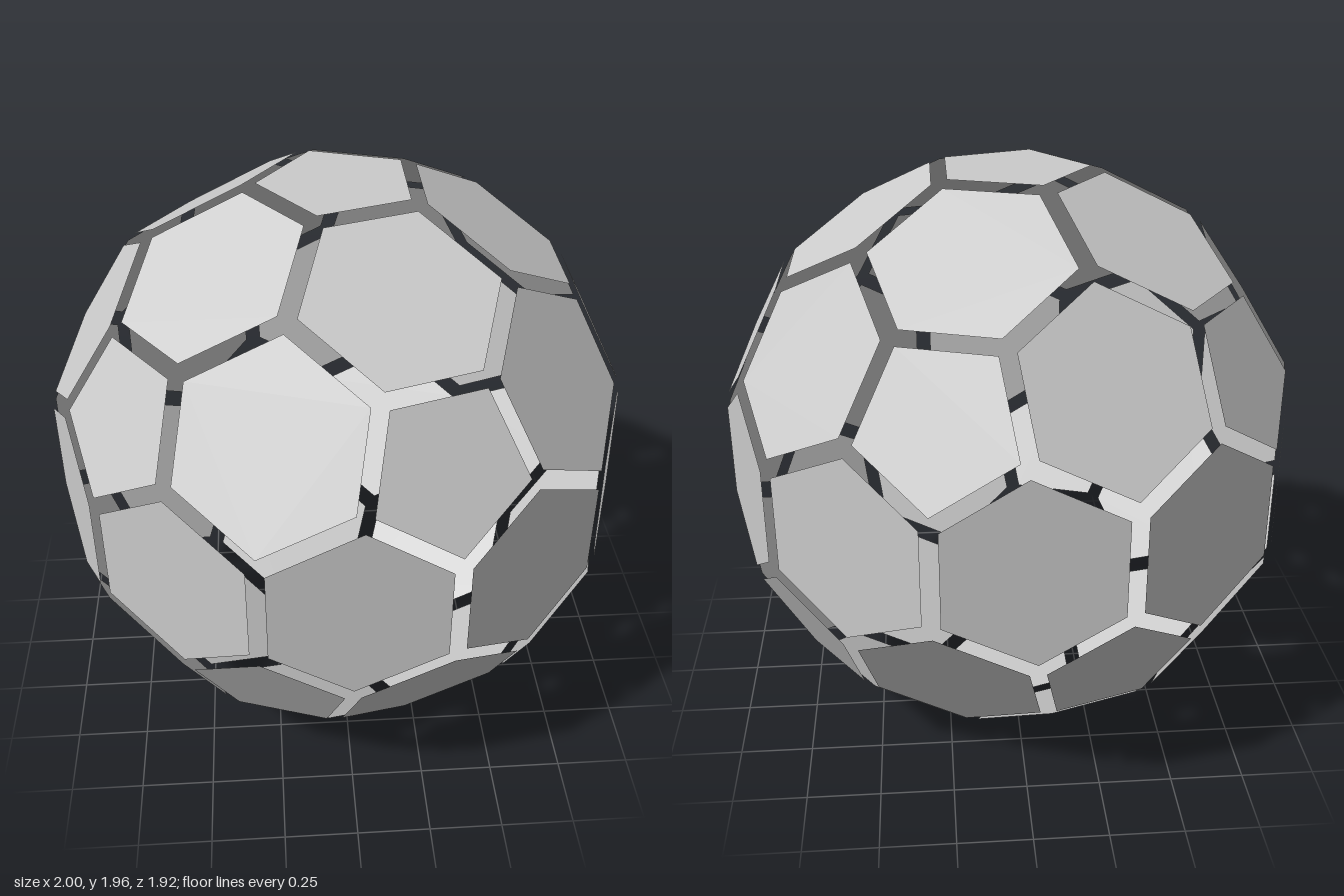
import * as THREE from 'three';

const rad = THREE.MathUtils.degToRad;
const R = 1.0097;            // radius of the sphere touching every seam
const SHRINK = 0.9;          // each panel is scaled about its centre to leave gaps
const HEX = rad(18);         // angular radius of a hexagon's inscribed circle
const PENT = Math.atan((Math.sqrt(5) - 1) / 2) - HEX; // same for a pentagon

export function createModel() {
  const model = new THREE.Group();
  model.name = 'panelledBall';
  const material = new THREE.MeshStandardMaterial({
    color: 0xcccccc, flatShading: true, side: THREE.DoubleSide,
  });

  // Flat outlines; local +x points toward the next pentagon
  const a = R * Math.sin(PENT), h = R * Math.sin(HEX);
  const half = a * Math.tan(rad(36));               // half a pentagon's edge
  const tip = h / Math.sin(2 * Math.atan2(half, h)); // where three hexagons meet
  const pentPoints = [];
  for (let i = 0; i < 5; i++) {
    const t = rad(36 + 72 * i), r = a / Math.cos(rad(36));
    pentPoints.push([r * Math.cos(t), r * Math.sin(t)]);
  }
  const hexPoints = [[h, -half], [h, half], [0, tip], [-h, half], [-h, -half], [0, -tip]];
  const panelGeometry = (points) => new THREE.ShapeGeometry(
    new THREE.Shape(points.map(([x, y]) => new THREE.Vector2(x * SHRINK, y * SHRINK))));
  const pentagon = panelGeometry(pentPoints);
  const hexagon = panelGeometry(hexPoints);

  // Place a panel facing along normal, with its local x turned toward a target
  const centreY = R * Math.cos(PENT);
  function addPanel(name, geometry, normal, toward, distance) {
    const u = toward.clone().addScaledVector(normal, -toward.dot(normal)).normalize();
    const v = normal.clone().cross(u);
    const mesh = new THREE.Mesh(geometry, material);
    mesh.name = name;
    mesh.quaternion.setFromRotationMatrix(new THREE.Matrix4().makeBasis(u, v, normal));
    mesh.position.copy(normal).multiplyScalar(distance);
    mesh.position.y += centreY;
    model.add(mesh);
  }

  // Twelve pentagon directions: the poles and two staggered rings
  const dirs = [new THREE.Vector3(0, 1, 0)];
  for (let k = 0; k < 5; k++) {
    dirs.push(new THREE.Vector3().setFromSphericalCoords(1, Math.atan(2), rad(18 + 72 * k)));
  }
  dirs.push(...dirs.map((d) => d.clone().negate()));
  const adjacent = (p, q) => p !== q && p.dot(q) > 0.4;

  dirs.forEach((p, i) => {
    addPanel('pentagonPanel', pentagon, p, dirs.find((q) => adjacent(p, q)), R * Math.cos(PENT));
    // A hexagon halfway between every two neighbouring pentagons
    dirs.slice(i + 1).filter((q) => adjacent(p, q)).forEach((q) => {
      addPanel('hexagonPanel', hexagon, p.clone().add(q).normalize(), q, R * Math.cos(HEX));
    });
  });
  return model;
}
